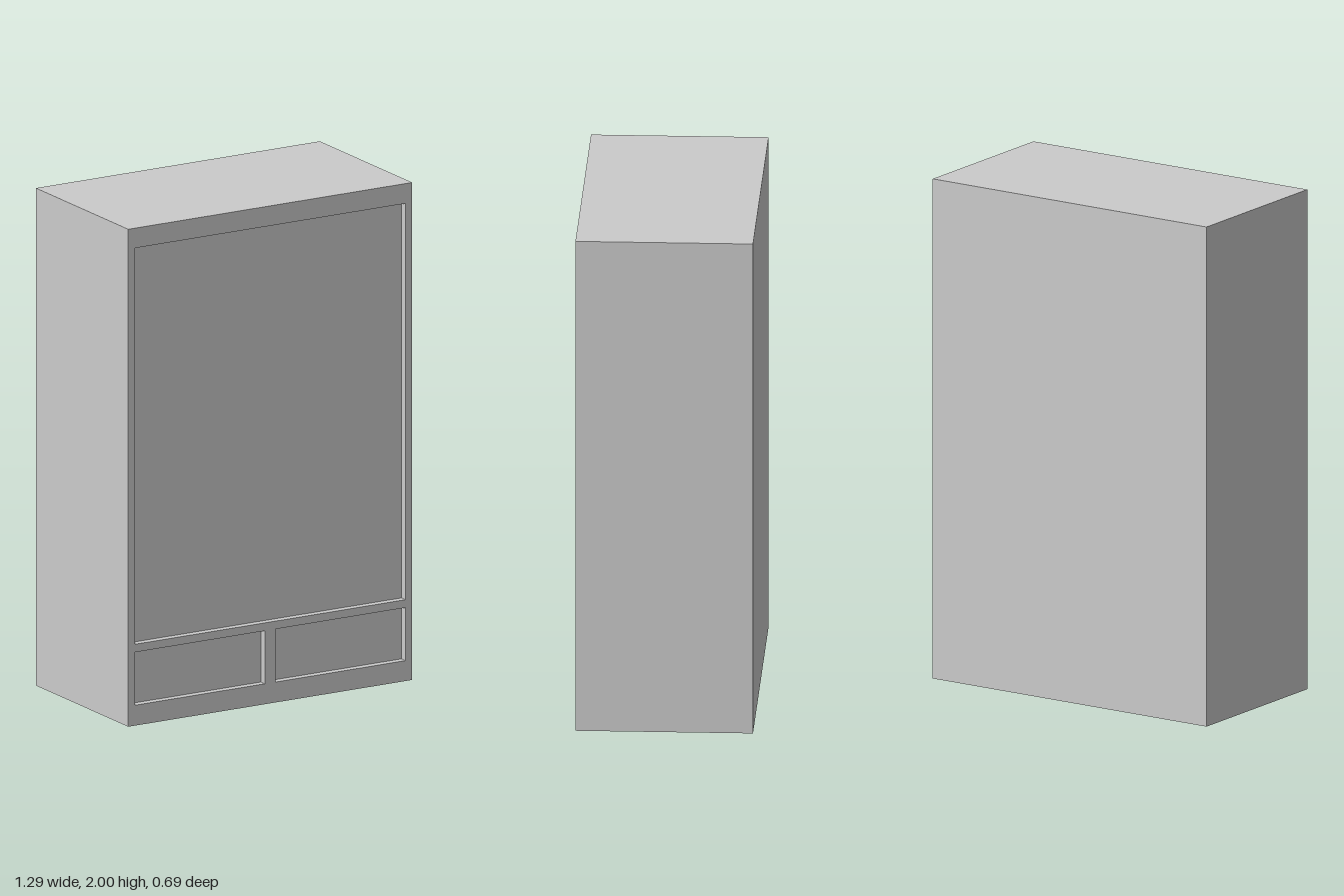
import * as THREE from 'three';

const WIDTH = 1.286, HEIGHT = 2, DEPTH = 0.688, RECESS = 0.03;

// Adds a rectangle to a shape or path
function rect(path, x0, y0, x1, y1) {
  path.moveTo(x0, y0);
  path.lineTo(x1, y0);
  path.lineTo(x1, y1);
  path.lineTo(x0, y1);
  path.closePath();
  return path;
}

export function createModel() {
  const group = new THREE.Group();
  group.name = 'cabinet';
  const material = new THREE.MeshStandardMaterial({ color: 0xcccccc });

  // Solid body; its front forms the sunken door and drawer panels
  const bodyDepth = DEPTH - RECESS;
  const body = new THREE.Mesh(new THREE.BoxGeometry(WIDTH, HEIGHT, bodyDepth), material);
  body.name = 'cabinetBody';
  body.position.set(0, HEIGHT / 2, -RECESS / 2);
  group.add(body);

  // Front frame with one tall door opening above two drawer openings
  const outline = rect(new THREE.Shape(), -WIDTH / 2, 0, WIDTH / 2, HEIGHT);
  const openings = [
    [-0.613, 0.327, 0.613, 1.92],
    [-0.613, 0.082, -0.024, 0.295],
    [0.024, 0.082, 0.613, 0.295],
  ];
  for (const o of openings) outline.holes.push(rect(new THREE.Path(), ...o));
  const frame = new THREE.Mesh(
    new THREE.ExtrudeGeometry(outline, { depth: RECESS, bevelEnabled: false }), material);
  frame.name = 'frontFrame';
  frame.position.z = DEPTH / 2 - RECESS;
  group.add(frame);

  return group;
}
